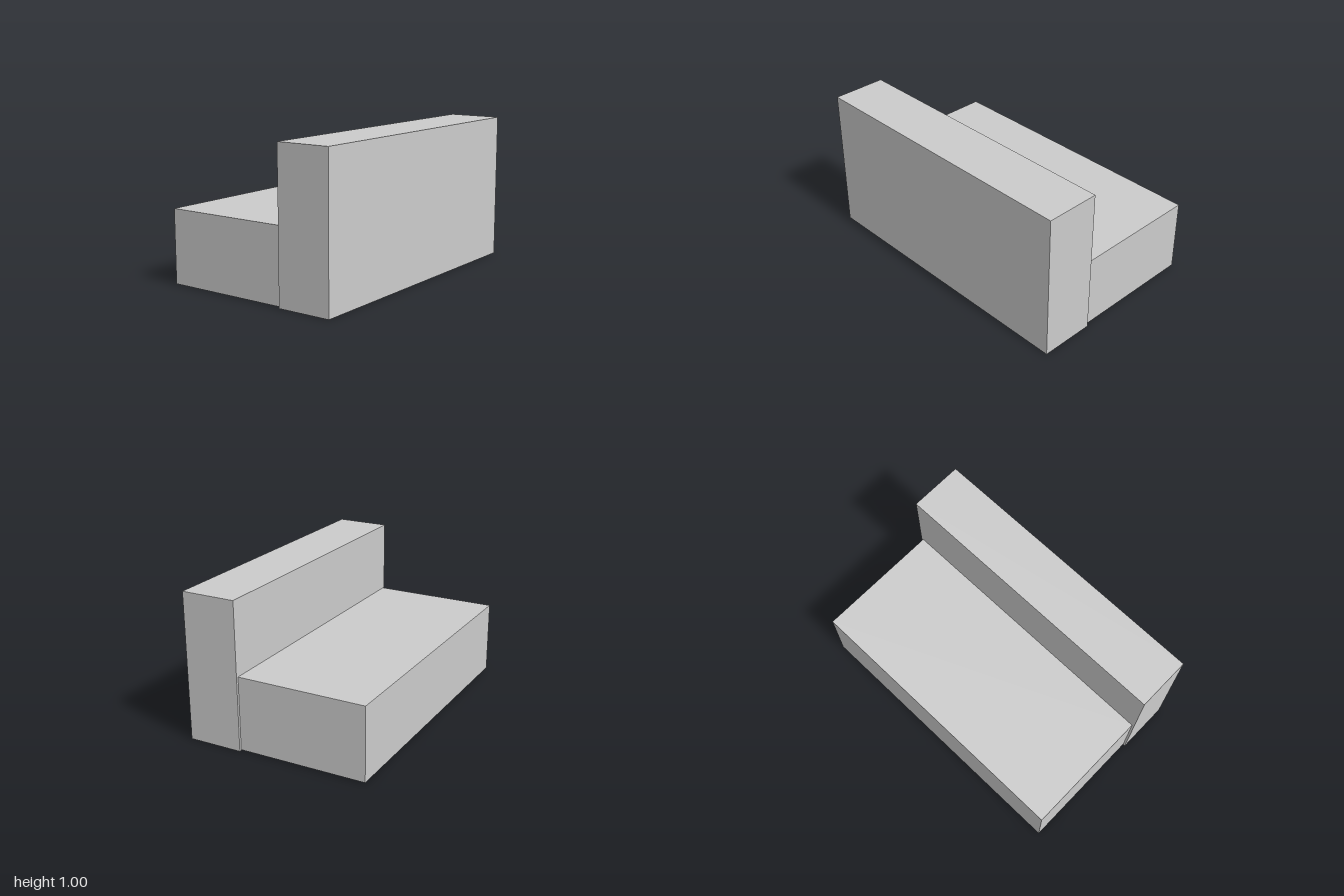
import * as THREE from 'three';

const material = new THREE.MeshStandardMaterial({ color: 0xcccccc, flatShading: true });

// Box spanning the given y and z ranges, centred on x = 0
function block(name, width, [y0, y1], [z0, z1]) {
  const mesh = new THREE.Mesh(new THREE.BoxGeometry(width, y1 - y0, z1 - z0), material);
  mesh.name = name;
  mesh.position.set(0, (y0 + y1) / 2, (z0 + z1) / 2);
  return mesh;
}

export function createModel() {
  const group = new THREE.Group();
  group.name = 'steppedBlock';
  // Tall front slab, and the slightly narrower low step behind it
  group.add(
    block('tallSlab', 2, [0, 0.995], [0.252, 0.622]),
    block('lowStep', 1.968, [0.005, 0.5], [-0.622, 0.252]),
  );
  return group;
}
